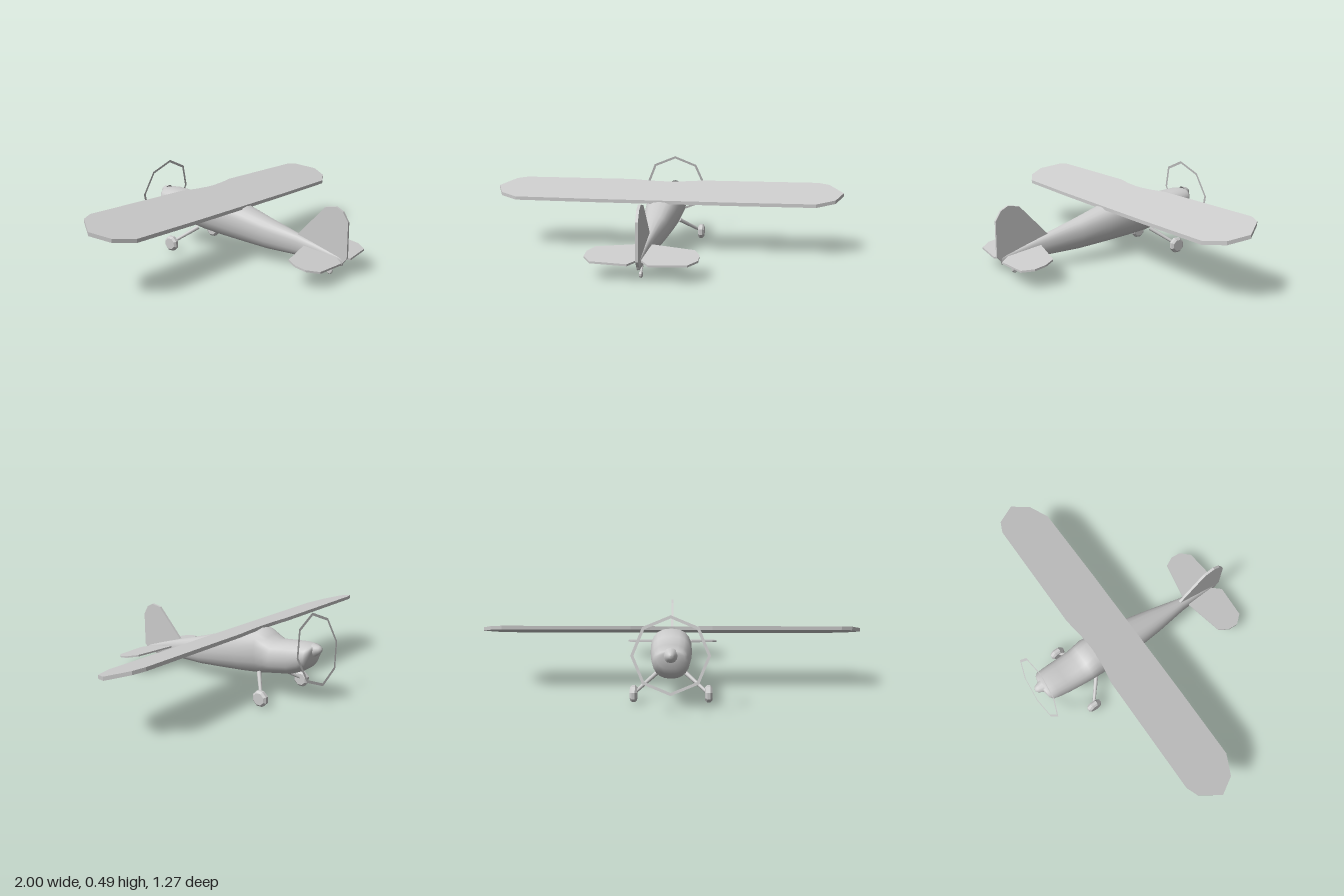
import * as THREE from 'three';

const grey = new THREE.MeshStandardMaterial({ color: 0xcccccc, side: THREE.DoubleSide });
const faceted = new THREE.MeshStandardMaterial({ color: 0xcccccc, flatShading: true, side: THREE.DoubleSide });

function add(parent, name, geometry, material = grey) {
  const mesh = new THREE.Mesh(geometry, material);
  mesh.name = name;
  parent.add(mesh);
  return mesh;
}

// Closed skin through oval sections [z, top, bottom, halfWidth]
function loft(sections, sides = 20, power = 2.5) {
  const pos = [], index = [];
  const bulge = v => Math.sign(v) * Math.abs(v) ** (2 / power);
  sections.forEach(([z, top, bottom, half], i) => {
    for (let j = 0; j < sides; j++) {
      const a = (j / sides) * Math.PI * 2;
      const s = bulge(Math.sin(a));
      const narrow = 1 - 0.15 * Math.max(0, -s);
      pos.push(half * bulge(Math.cos(a)) * narrow, (top + bottom) / 2 + s * (top - bottom) / 2, z);
      if (i === 0) continue;
      const k = (j + 1) % sides, p = (i - 1) * sides, q = i * sides;
      index.push(p + j, p + k, q + j, p + k, q + k, q + j);
    }
  });
  const g = new THREE.BufferGeometry();
  g.setAttribute('position', new THREE.Float32BufferAttribute(pos, 3));
  g.setIndex(index);
  g.computeVertexNormals();
  return g;
}

const outline = pts => new THREE.Shape(pts.map(p => new THREE.Vector2(...p)));

// Flat panel from a half outline [x, z], mirrored in x and sloped along z
function panel(half, thickness, y0, slope) {
  const mirrored = half.map(([x, z]) => [-x, z]).reverse();
  const g = new THREE.ExtrudeGeometry(outline([...half, ...mirrored]), { depth: thickness, bevelEnabled: false });
  g.rotateX(Math.PI / 2);
  const p = g.attributes.position;
  for (let i = 0; i < p.count; i++) p.setY(i, p.getY(i) + y0 + slope * p.getZ(i));
  g.computeVertexNormals();
  return g;
}

// Tapered rod between two points
function rod(a, b, r0, r1) {
  const from = new THREE.Vector3(...a), to = new THREE.Vector3(...b);
  const dir = to.clone().sub(from);
  const g = new THREE.CylinderGeometry(r1, r0, dir.length(), 8);
  g.applyQuaternion(new THREE.Quaternion().setFromUnitVectors(new THREE.Vector3(0, 1, 0), dir.normalize()));
  const mid = from.add(to).multiplyScalar(0.5);
  return g.translate(mid.x, mid.y, mid.z);
}

// Eight-sided wheel with chamfered rims, axle along x
function wheel(r, w) {
  const profile = [[0, -w], [r * 0.75, -w], [r, -w * 0.45], [r, w * 0.45], [r * 0.75, w], [0, w]];
  return new THREE.LatheGeometry(profile.map(p => new THREE.Vector2(...p)), 8)
    .rotateY(Math.PI / 8).rotateZ(Math.PI / 2);
}

export function createModel() {
  const plane = new THREE.Group();
  plane.name = 'airplane';

  // Fuselage, nose to tail
  add(plane, 'fuselage', loft([
    [-0.585, 0.305, 0.305, 0], [-0.582, 0.322, 0.27, 0.04], [-0.575, 0.325, 0.235, 0.068],
    [-0.56, 0.327, 0.205, 0.084], [-0.52, 0.33, 0.178, 0.09], [-0.46, 0.325, 0.152, 0.095],
    [-0.36, 0.314, 0.135, 0.101], [-0.32, 0.333, 0.127, 0.104], [-0.27, 0.362, 0.117, 0.107],
    [-0.15, 0.333, 0.103, 0.105], [0, 0.29, 0.088, 0.09], [0.16, 0.238, 0.073, 0.068],
    [0.35, 0.182, 0.067, 0.034], [0.45, 0.15, 0.061, 0.023], [0.54, 0.12, 0.055, 0.015],
    [0.61, 0.1, 0.055, 0.008], [0.612, 0.078, 0.078, 0]
  ]));

  // Wing with a shallow notch above the windshield
  add(plane, 'wing', panel([
    [0.02, -0.25], [0.11, -0.257], [0.21, -0.273], [0.87, -0.275], [0.93, -0.25],
    [1, -0.144], [0.95, -0.05], [0.845, 0.005], [0.4, 0.01]
  ], 0.019, 0.297, -0.288));

  // Tail surfaces
  add(plane, 'tailplane', panel([
    [0.004, 0.39], [0.25, 0.444], [0.28, 0.5], [0.28, 0.56], [0.235, 0.615], [0.05, 0.63], [0.006, 0.575]
  ], 0.01, 0.213, -0.2));
  const fin = new THREE.ExtrudeGeometry(outline([
    [0.345, 0.184], [0.4, 0.1], [0.52, 0.057], [0.6, 0.055], [0.637, 0.1],
    [0.637, 0.29], [0.606, 0.341], [0.566, 0.362], [0.504, 0.351]
  ]), { depth: 0.014, bevelEnabled: false });
  add(plane, 'fin', fin.translate(0, 0, -0.007).rotateY(-Math.PI / 2));

  // Spinner and eight-sided propeller ring
  const propeller = new THREE.Group();
  propeller.name = 'propeller';
  propeller.position.set(0, 0.305, -0.595);
  propeller.rotation.x = 0.21;
  plane.add(propeller);
  add(propeller, 'propellerRing', new THREE.RingGeometry(0.174, 0.189, 8), faceted);
  const spinner = [[0.036, -0.02], [0.026, 0], [0.019, 0.014], [0.01, 0.022], [0, 0.024]];
  add(propeller, 'spinner', new THREE.LatheGeometry(spinner.map(p => new THREE.Vector2(...p)), 12).rotateX(-Math.PI / 2));

  // Main landing gear
  for (const side of [1, -1]) {
    const label = side > 0 ? 'left' : 'right';
    add(plane, label + 'Strut', rod([side * 0.185, 0.055, -0.385], [side * 0.07, 0.135, -0.285], 0.008, 0.012));
    add(plane, label + 'Wheel', wheel(0.044, 0.018), faceted).position.set(side * 0.19, 0.05, -0.385);
  }

  // Tail wheel
  add(plane, 'tailStrut', rod([0, 0.022, 0.538], [0, 0.065, 0.49], 0.005, 0.007));
  add(plane, 'tailWheel', wheel(0.017, 0.008), faceted).position.set(0, 0.0165, 0.538);

  return plane;
}
